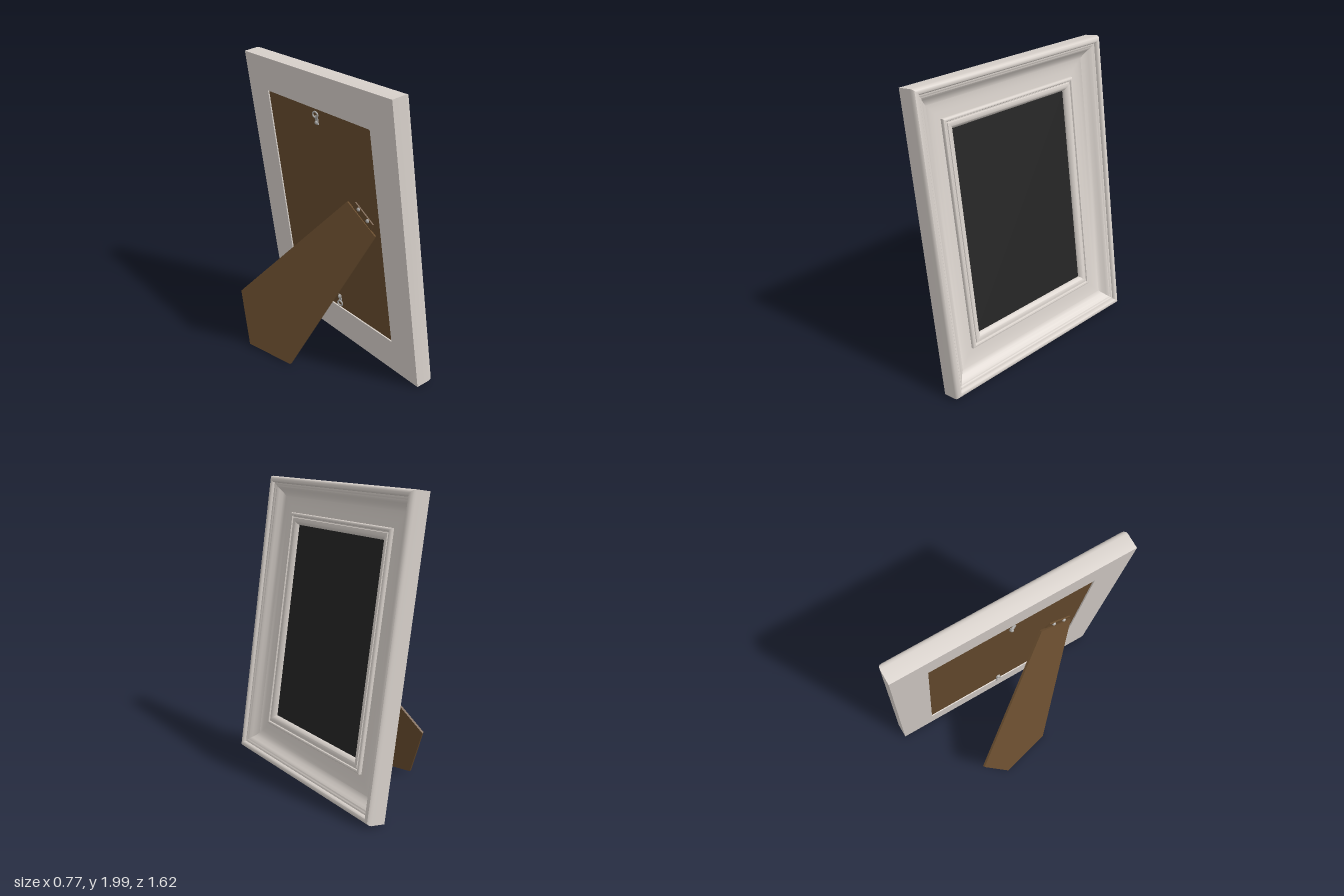
import * as THREE from 'three';
import { toCreasedNormals } from 'three/addons/utils/BufferGeometryUtils.js';

const HALF = 0.81;    // half width of the frame
const LEN = 1.998;    // height of the frame along its tilt
const TILT = 0.1508;  // backward lean

// Moulding section: [inset from the outer edge, height above the back]
const PROFILE = [
  [0, 0], [0, 0.1], [0.003, 0.114], [0.011, 0.125], [0.024, 0.131], [0.035, 0.128],
  [0.043, 0.12], [0.046, 0.108], [0.056, 0.106], [0.062, 0.1], [0.07, 0.098],
  [0.085, 0.082], [0.105, 0.065], [0.13, 0.051], [0.16, 0.043], [0.195, 0.039], [0.236, 0.039],
  [0.236, 0.053], [0.241, 0.061], [0.249, 0.064], [0.256, 0.061], [0.26, 0.053],
  [0.267, 0.053], [0.27, 0.059], [0.28, 0.061], [0.295, 0.057], [0.307, 0.047],
  [0.315, 0.034], [0.315, 0.03], [0.24, 0.03], [0.24, 0],
];

// Four mitred sides swept from the moulding section
function mouldingGeometry() {
  const corner = (k, [d, w]) => {
    const z = k === 0 || k === 1 ? HALF - d : d - HALF;
    const y = k === 1 || k === 2 ? LEN - d : d;
    return [w, y, z];
  };
  const pos = [];
  for (let k = 0; k < 4; k++) {
    const n = (k + 1) % 4;
    PROFILE.forEach((p, i) => {
      const q = PROFILE[(i + 1) % PROFILE.length];
      const a = corner(k, p), b = corner(k, q), c = corner(n, q), d = corner(n, p);
      pos.push(...a, ...b, ...c, ...a, ...c, ...d);
    });
  }
  const g = new THREE.BufferGeometry();
  g.setAttribute('position', new THREE.Float32BufferAttribute(pos, 3));
  return toCreasedNormals(g, 0.7);
}

// Flat plate extruded from a planar outline in space, centred on that plane
function plateGeometry(points, thickness) {
  const [o, p, q] = [points[0], points[1], points[points.length - 1]];
  const x = p.clone().sub(o).normalize();
  const z = x.clone().cross(q.clone().sub(o)).normalize();
  const y = z.clone().cross(x);
  const outline = points.map((v) => {
    const r = v.clone().sub(o);
    return new THREE.Vector2(r.dot(x), r.dot(y));
  });
  const g = new THREE.ExtrudeGeometry(new THREE.Shape(outline), { depth: thickness, bevelEnabled: false });
  g.translate(0, 0, -thickness / 2);
  return g.applyMatrix4(new THREE.Matrix4().makeBasis(x, y, z).setPosition(o));
}

export function createModel() {
  const material = (name, color) => {
    const m = new THREE.MeshStandardMaterial({ color });
    m.name = name;
    return m;
  };
  const cream = material('paintedWood', 0xd8d1cb);
  const black = material('blackPicture', 0x242424);
  const brown = material('brownBoard', 0x684c2e);
  const metal = material('greyMetal', 0xa8a6a3);

  const add = (parent, name, geometry, mat, x = 0, y = 0, z = 0) => {
    const mesh = new THREE.Mesh(geometry, mat);
    mesh.name = name;
    mesh.position.set(x, y, z);
    parent.add(mesh);
    return mesh;
  };

  const model = new THREE.Group();
  model.name = 'pictureFrame';

  // Leaning frame, facing +x
  const frame = new THREE.Group();
  frame.name = 'leaningFrame';
  frame.position.set(0.255, 0.006, 0);
  frame.rotation.z = TILT;
  model.add(frame);

  add(frame, 'moulding', mouldingGeometry(), cream);
  add(frame, 'picture', new THREE.BoxGeometry(0.014, LEN - 0.5, 2 * HALF - 0.5), black, 0.0225, LEN / 2);
  add(frame, 'backBoard', new THREE.BoxGeometry(0.01, LEN - 0.488, 2 * HALF - 0.488), brown, 0.012, LEN / 2);

  // Rivet heads and hanging rings on the back board
  const rivet = new THREE.SphereGeometry(0.014, 16, 10);
  const ring = new THREE.TorusGeometry(0.02, 0.006, 10, 24);
  for (const [name, y, s] of [['topHanger', 1.69, 1], ['bottomHanger', 0.31, -1]]) {
    const hanger = new THREE.Group();
    hanger.name = name;
    hanger.position.set(0, y, 0);
    frame.add(hanger);
    add(hanger, 'hangerPlate', new THREE.BoxGeometry(0.006, 0.06, 0.028), metal, 0.004, -0.012 * s);
    add(hanger, 'hangerRivet', rivet, metal, 0.001, -0.028 * s);
    const loop = add(hanger, 'hangerRing', ring, metal, -0.003, 0.028 * s);
    loop.rotation.set(0, Math.PI / 2 + 0.25, 0);
  }

  // Slanted hinge where the leg meets the board
  const hinge = new THREE.Group();
  hinge.name = 'hinge';
  hinge.position.set(0.003, 1.105, 0.39);
  hinge.rotation.x = 0.557;
  frame.add(hinge);
  add(hinge, 'hingeFlap', new THREE.BoxGeometry(0.01, 0.08, 0.2), brown, 0, 0.015);
  for (const z of [-0.05, 0.05]) add(hinge, 'hingeRivet', rivet, metal, -0.005, 0.038, z);

  // Easel leg, splayed backwards and sideways
  const leg = [
    [-0.378, 0.015, -0.27], [-0.278, 0.004, 0.1], [0.09, 1.02, 0.52],
    [0.062, 1.18, 0.263], [-0.338, 0.355, -0.443],
  ].map((p) => new THREE.Vector3(...p));
  add(model, 'easelLeg', plateGeometry(leg, 0.016), brown);

  return model;
}
